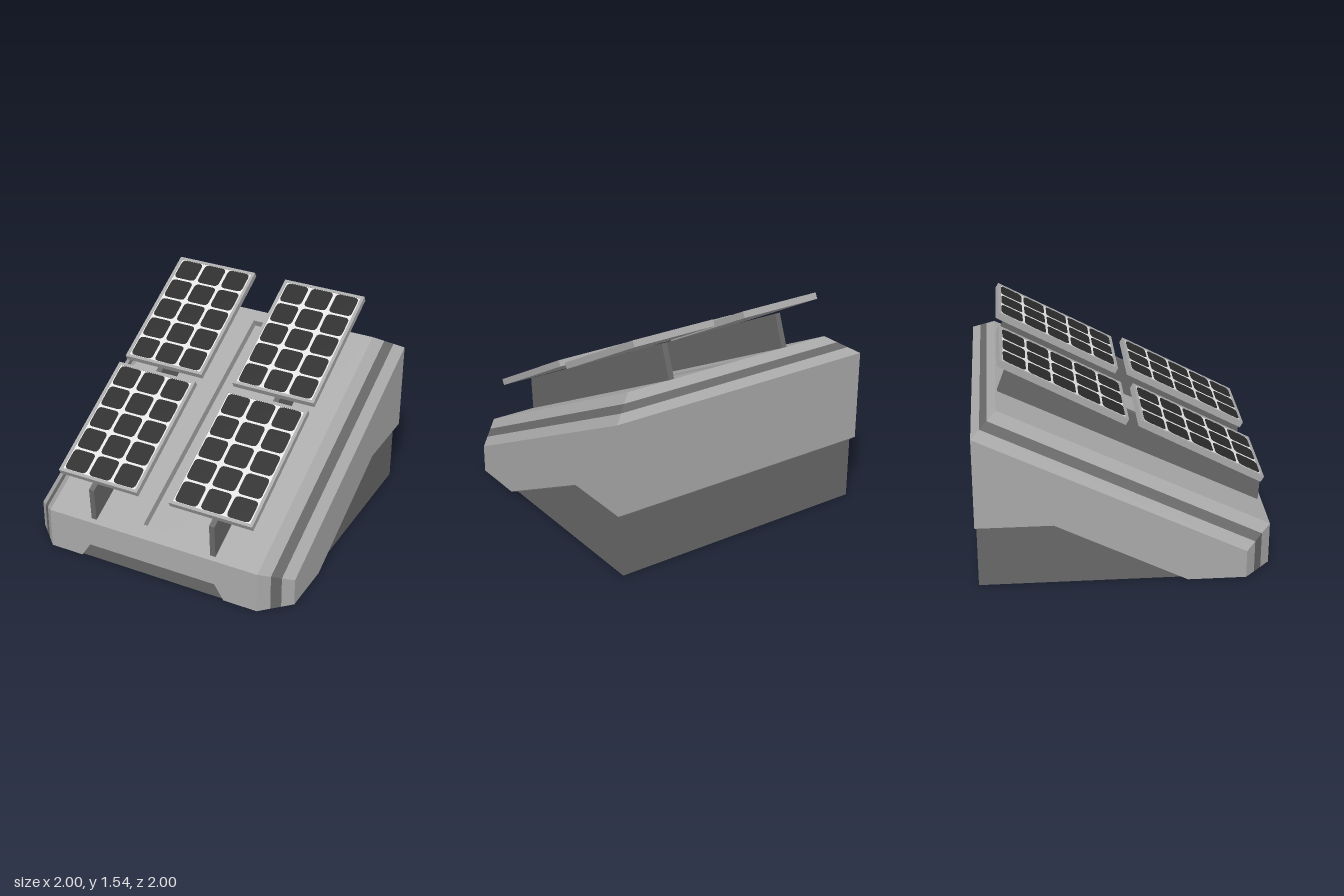
import * as THREE from 'three';

const mat = (name, color) => Object.assign(new THREE.MeshStandardMaterial({ color }), { name });
const V = (x, y, z) => new THREE.Vector3(x, y, z);

// Collects flat polygons as triangle fans, each facing away from (or toward) a reference point
class Faces {
  constructor() { this.pos = []; }
  add(pts, ref = V(0, 0.3, -0.2), toward = false) {
    const mid = pts.reduce((s, p) => s.add(p), V(0, 0, 0)).divideScalar(pts.length);
    const n = V(0, 0, 0);
    for (let i = 1; i < pts.length - 1; i++) {
      n.add(pts[i].clone().sub(pts[0]).cross(pts[i + 1].clone().sub(pts[0])));
    }
    const flip = (n.dot(mid.sub(ref)) < 0) !== toward;
    for (let i = 1; i < pts.length - 1; i++) {
      const tri = flip ? [pts[0], pts[i + 1], pts[i]] : [pts[0], pts[i], pts[i + 1]];
      tri.forEach(p => this.pos.push(p.x, p.y, p.z));
    }
  }
  mesh(name, material) {
    const g = new THREE.BufferGeometry();
    g.setAttribute('position', new THREE.Float32BufferAttribute(this.pos, 3));
    g.computeVertexNormals();
    return named(new THREE.Mesh(g, material), name);
  }
}

function named(obj, name) { obj.name = name; return obj; }

// Extrudes a (z, y) side profile across x
function sideExtrude(profile, width) {
  const shape = new THREE.Shape(profile.map(([z, y]) => new THREE.Vector2(-z, y)));
  return new THREE.ExtrudeGeometry(shape, { depth: width, bevelEnabled: false })
    .translate(0, 0, -width / 2).rotateY(Math.PI / 2);
}

export function createModel() {
  const model = new THREE.Group();
  const body = mat('bodyGrey', 0xa9a9a9);
  const dark = mat('darkGrey', 0x686868);
  const board = mat('panelLight', 0xe2e2e2);
  const cellMat = mat('cellBlack', 0x2a2a2a);

  const hull = new Faces(), stripe = new Faces(), channel = new Faces(), lip = new Faces();

  // Bevelled rim: front corner, side and back strips, with a dark band in the middle
  const zBack = -0.835;
  const inner = [V(0.81, 0, 1), V(0.81, 0.3, 1), V(0.81, 1.214, zBack)];
  const outer = [V(1, 0, 0.816), V(1, 0.2, 0.816), V(1, 1.1, -1)];
  const mirror = p => V(-p.x, p.y, p.z);
  const loop = half => [...half, ...half.map(mirror).reverse()];
  const inLoop = loop(inner), outLoop = loop(outer);
  const bands = [[0, 0.36, hull], [0.36, 0.65, stripe], [0.65, 1, hull]];
  for (let i = 0; i < inLoop.length - 1; i++) {
    for (const [t0, t1, target] of bands) {
      const at = (k, t) => inLoop[k].clone().lerp(outLoop[k], t);
      target.add([at(i, t0), at(i + 1, t0), at(i + 1, t1), at(i, t1)]);
    }
  }

  // Side walls and front wall with their lower cutouts
  for (const s of [1, -1]) {
    hull.add([[0.455, -0.48], [0.455, -1], [1.1, -1], [0.2, 0.816], [0, 0.816], [0, 0.42]]
      .map(([y, z]) => V(s, y, z)));
    hull.add([[0.49, 0.11], [0.56, 0], [0.81, 0], [0.81, 0.3], [0.49, 0.3]]
      .map(([x, y]) => V(s * x, y, 1)));
  }
  hull.add([V(0.49, 0.11, 1), V(0.49, 0.3, 1), V(-0.49, 0.3, 1), V(-0.49, 0.11, 1)]);
  hull.add([V(1, 0.455, -1), V(1, 1.1, -1), V(-1, 1.1, -1), V(-1, 0.455, -1)]);

  // Sloping deck around the sunken channel
  const slope = 0.914 / (1 - zBack);
  const deck = (x, z) => V(x, 0.3 + (1 - z) * slope, z);
  const cx = 0.105, zf = 0.907, zb = -0.75;
  for (const s of [1, -1]) {
    hull.add([deck(s * cx, 1), deck(s * 0.81, 1), deck(s * 0.81, zBack), deck(s * cx, zBack)]);
  }
  hull.add([deck(-cx, 1), deck(cx, 1), deck(cx, zf), deck(-cx, zf)]);
  hull.add([deck(-cx, zb), deck(cx, zb), deck(cx, zBack), deck(-cx, zBack)]);

  // Channel walls and floor
  const sink = V(0, -1, -slope).normalize().multiplyScalar(0.06);
  const rim = [deck(cx, zf), deck(cx, zb), deck(-cx, zb), deck(-cx, zf)];
  const floor = rim.map(p => p.clone().add(sink));
  const centre = deck(0, (zf + zb) / 2).addScaledVector(sink, 0.5);
  channel.add(floor, centre, true);
  for (let i = 0; i < 4; i++) {
    const j = (i + 1) % 4;
    channel.add([rim[i], rim[j], floor[j], floor[i]], centre, true);
  }

  // Narrow underside lip between the hull edge and the inset base
  const edge = loop([V(0.49, 0.11, 1), V(0.56, 0, 1), V(0.81, 0, 1), V(1, 0, 0.816),
    V(1, 0, 0.42), V(1, 0.455, -0.48), V(1, 0.455, -1)]);
  const inset = loop([V(0.49, 0.11, 0.985), V(0.56, 0, 0.985), V(0.79, 0, 0.985), V(0.96, 0, 0.81),
    V(0.96, 0, 0.39), V(0.96, 0.443, -0.487), V(0.96, 0.443, -0.988)]);
  edge.forEach((p, i) => {
    const j = (i + 1) % edge.length;
    lip.add([p, edge[j], inset[j], inset[i]], V(0, 5, 0));
  });

  model.add(hull.mesh('hull', body), stripe.mesh('rimStripe', dark),
    channel.mesh('deckChannel', body), lip.mesh('hullLip', body));

  // Inset base: tall rear block and a low plinth with cut front corners and a lighter underside
  model.add(named(new THREE.Mesh(
    sideExtrude([[0.7, 0.03], [0.7, 0.09], [-0.4, 0.5], [-0.988, 0.5], [-0.988, 0.03]], 1.92), dark), 'baseBlock'));
  const foot = new THREE.Shape([[0.79, -0.985], [0.96, -0.81], [0.96, 0.988],
    [-0.96, 0.988], [-0.96, -0.81], [-0.79, -0.985]].map(([x, y]) => new THREE.Vector2(x, y)));
  const plinth = new THREE.ExtrudeGeometry(foot, { depth: 0.14, bevelEnabled: false }).rotateX(-Math.PI / 2);
  model.add(named(new THREE.Mesh(plinth, [body, dark]), 'basePlinth'));

  // Upright fins below the panels
  const finGeo = sideExtrude([[0.985, 0.56], [-0.74, 1.43], [-0.825, 1.2], [0.97, 0.305]], 0.04);
  for (const s of [1, -1]) {
    const fin = named(new THREE.Mesh(finGeo, dark), s > 0 ? 'leftFin' : 'rightFin');
    fin.position.x = s * 0.465;
    model.add(fin);
  }

  // Solar panel: tray with a raised rim, light board, 3 x 5 rounded cells
  const W = 0.622, L = 0.948, top = 0.0225, edgeW = 0.022, deep = 0.005;
  const rect = (Kind, w, l) => new Kind([[-w, -l], [w, -l], [w, l], [-w, l]]
    .map(([x, y]) => new THREE.Vector2(x / 2, y / 2)));
  const rimShape = rect(THREE.Shape, W, L);
  rimShape.holes.push(rect(THREE.Path, W - 2 * edgeW, L - 2 * edgeW));
  const trayGeo = new THREE.BoxGeometry(W, 0.045 - deep, L).translate(0, -deep / 2, 0);
  const rimGeo = new THREE.ExtrudeGeometry(rimShape, { depth: deep, bevelEnabled: false })
    .rotateX(-Math.PI / 2).translate(0, top - deep, 0);
  const boardGeo = new THREE.PlaneGeometry(W - 2 * edgeW, L - 2 * edgeW)
    .rotateX(-Math.PI / 2).translate(0, top - 0.0035, 0);
  const w = 0.086, h = 0.083, r = 0.034;
  const cellShape = new THREE.Shape();
  cellShape.moveTo(w - r, -h);
  cellShape.quadraticCurveTo(w, -h, w, r - h);
  cellShape.lineTo(w, h - r);
  cellShape.quadraticCurveTo(w, h, w - r, h);
  cellShape.lineTo(r - w, h);
  cellShape.quadraticCurveTo(-w, h, -w, h - r);
  cellShape.lineTo(-w, r - h);
  cellShape.quadraticCurveTo(-w, -h, r - w, -h);
  const cellGeo = new THREE.ShapeGeometry(cellShape, 4).rotateX(-Math.PI / 2);

  function makePanel(name) {
    const panel = named(new THREE.Group(), name);
    panel.add(named(new THREE.Mesh(trayGeo, body), 'panelTray'),
      named(new THREE.Mesh(rimGeo, body), 'panelRim'),
      named(new THREE.Mesh(boardGeo, board), 'cellBoard'));
    for (let i = -1; i <= 1; i++) {
      for (let j = -2; j <= 2; j++) {
        const cell = named(new THREE.Mesh(cellGeo, cellMat), 'solarCell');
        cell.position.set(i * 0.194, top - 0.001, j * 0.183);
        panel.add(cell);
      }
    }
    panel.rotation.x = 0.494;
    return panel;
  }
  for (const s of [1, -1]) {
    for (const [row, y, z] of [['Upper', 1.292, -0.39], ['Lower', 0.832, 0.528]]) {
      const panel = makePanel((s > 0 ? 'left' : 'right') + row + 'Panel');
      panel.position.set(s * 0.434, y, z);
      model.add(panel);
    }
  }
  return model;
}
